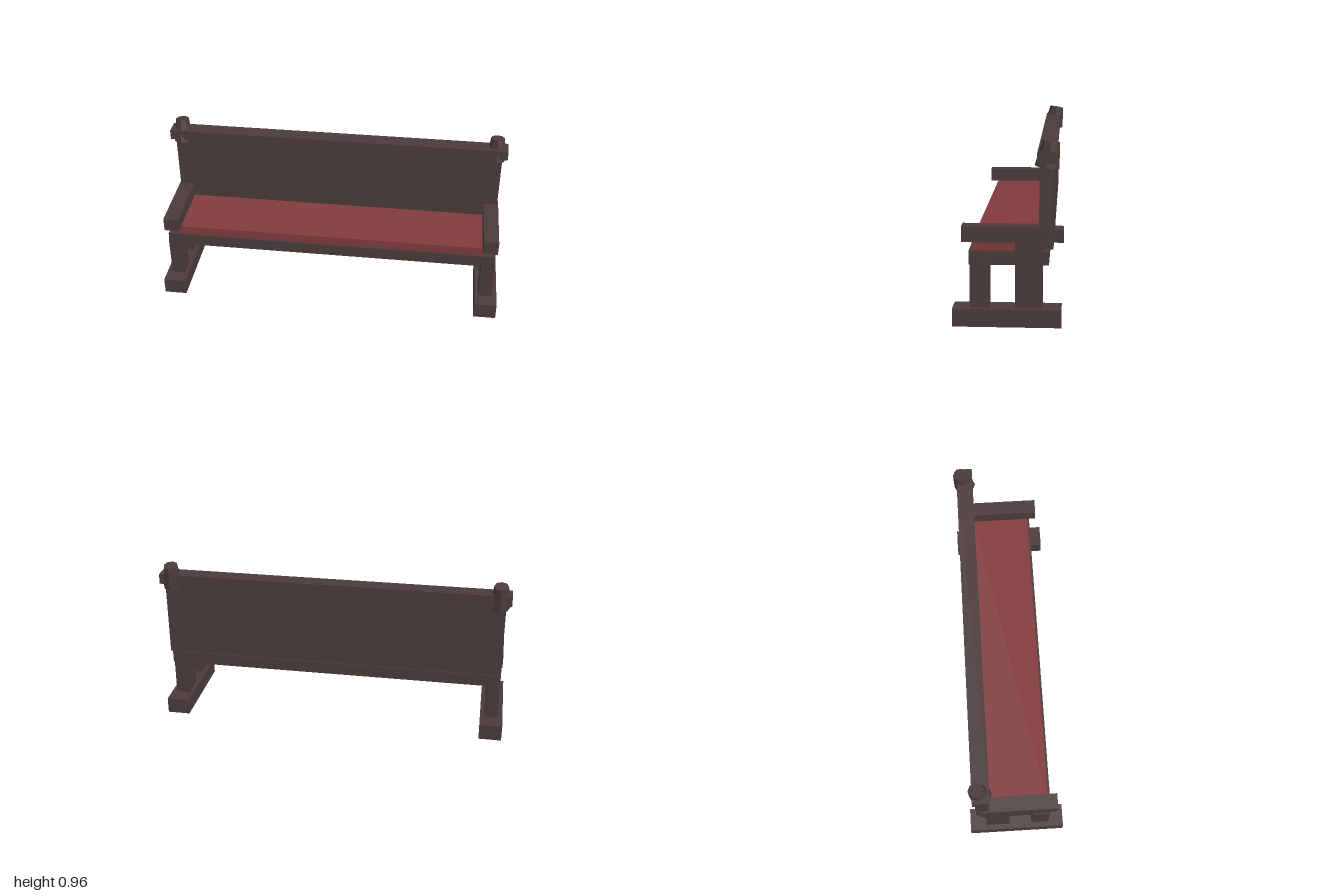
import * as THREE from 'three';

export function createModel() {
  const model = new THREE.Group();
  model.name = 'bench';

  const wood = new THREE.MeshStandardMaterial({ color: 0x4b3c3a });
  wood.name = 'darkWood';
  const fabric = new THREE.MeshStandardMaterial({ color: 0x823b3d });
  fabric.name = 'redCushion';

  // Box given by its lower and upper limits on each axis
  function box(name, material, [x0, x1], [y0, y1], [z0, z1], parent = model) {
    const mesh = new THREE.Mesh(new THREE.BoxGeometry(x1 - x0, y1 - y0, z1 - z0), material);
    mesh.position.set((x0 + x1) / 2, (y0 + y1) / 2, (z0 + z1) / 2);
    mesh.name = name;
    parent.add(mesh);
  }

  // Full-width parts
  box('seatFrame', wood, [-0.965, 0.965], [0.325, 0.395], [-0.21, 0.195]);
  box('seatCushion', fabric, [-0.938, 0.938], [0.395, 0.443], [-0.165, 0.18]);
  box('backrest', wood, [-0.968, 0.968], [0.41, 0.85], [-0.232, -0.16]);
  box('topRail', wood, [-0.998, 0.998], [0.842, 0.9], [-0.243, -0.15]);

  // Tapered faceted finial with its first corner facing forward
  const finialGeometry = new THREE.CylinderGeometry(0.044, 0.062, 0.132, 8).toNonIndexed();
  finialGeometry.computeVertexNormals();

  // End parts, mirrored left and right
  for (const side of [1, -1]) {
    const end = new THREE.Group();
    end.name = side > 0 ? 'leftEnd' : 'rightEnd';
    const span = (a, b) => (side > 0 ? [a, b] : [-b, -a]);

    box('foot', wood, span(0.87, 1), [0.01, 0.103], [-0.275, 0.277], end);
    box('frontLeg', wood, span(0.892, 0.97), [0, 0.352], [0.09, 0.19], end);
    box('backLeg', wood, span(0.892, 0.971), [0.005, 0.46], [-0.178, -0.04], end);
    box('armrest', wood, span(0.888, 0.975), [0.443, 0.523], [-0.2, 0.23], end);

    const finial = new THREE.Mesh(finialGeometry, wood);
    finial.name = 'finial';
    finial.position.set(side * 0.934, 0.884, -0.207);
    finial.rotation.x = -0.16;
    finial.scale.x = 0.9;
    end.add(finial);
    model.add(end);
  }

  return model;
}
